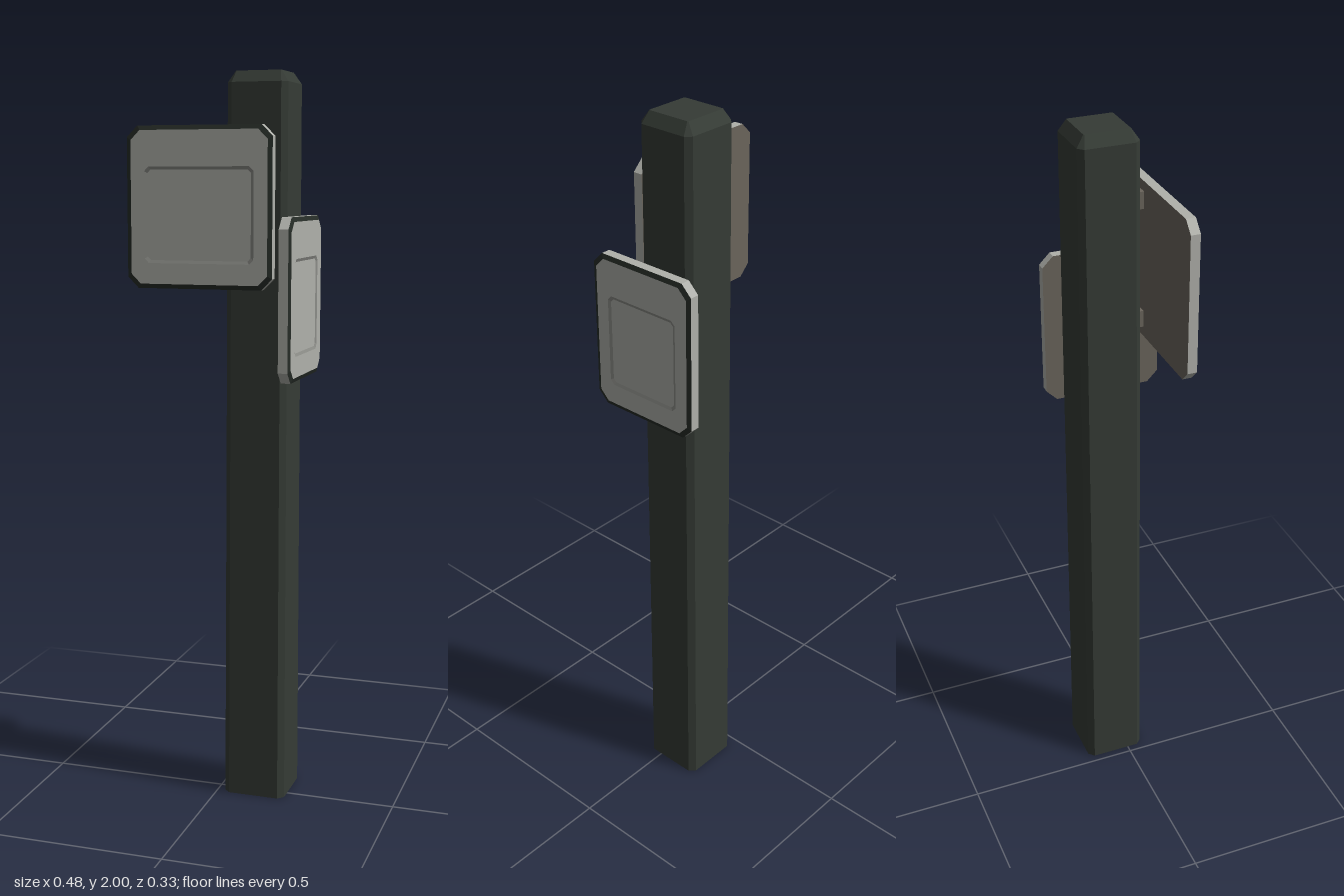
import * as THREE from 'three';

const mat = (name, color) => {
  const m = new THREE.MeshStandardMaterial({ color });
  m.name = name;
  return m;
};

// Rectangle with cut corners, counter-clockwise
function cutRect(w, h, c, cy = 0) {
  const x = w / 2, y = h / 2;
  return [[x - c, -y], [x, -y + c], [x, y - c], [x - c, y], [-x + c, y], [-x, y - c], [-x, -y + c], [-x + c, -y]]
    .map(([px, py]) => new THREE.Vector2(px, py + cy));
}

// Flat-faced skin through a list of [loop, z] sections along +z
function loft(sections) {
  const pos = [];
  for (let s = 0; s + 1 < sections.length; s++) {
    const [a, za] = sections[s], [b, zb] = sections[s + 1];
    for (let i = 0; i < a.length; i++) {
      const j = (i + 1) % a.length;
      const p = [a[i].x, a[i].y, za], q = [a[j].x, a[j].y, za];
      const r = [b[j].x, b[j].y, zb], t = [b[i].x, b[i].y, zb];
      pos.push(...p, ...q, ...r, ...p, ...r, ...t);
    }
  }
  const g = new THREE.BufferGeometry();
  g.setAttribute('position', new THREE.Float32BufferAttribute(pos, 3));
  g.computeVertexNormals();
  return g;
}

// Flat cap facing +z, optionally with a hole
function cap(loop, z, hole) {
  const shape = new THREE.Shape(loop);
  if (hole) shape.holes.push(new THREE.Path(hole));
  return new THREE.ShapeGeometry(shape).translate(0, 0, z);
}

export function createModel() {
  const root = new THREE.Group();
  root.name = 'signPost';
  const dark = mat('dark green grey', 0x353b35);
  const rimDark = mat('rim dark', 0x262c27);
  const light = mat('light grey', 0xb0b1ab);
  const groove = mat('groove grey', 0x8c8d88);
  const brown = mat('brown grey', 0x6b655c);

  const add = (parent, name, geo, material) => {
    const m = new THREE.Mesh(geo, material);
    m.name = name;
    parent.add(m);
    return m;
  };

  // Slightly tapered post with chamfered corners and a bevelled top
  const post = new THREE.Group();
  post.name = 'post';
  post.position.set(0.108, 0, -0.04);
  post.rotation.x = -Math.PI / 2;
  root.add(post);
  const foot = cutRect(0.174, 0.174, 0.016);
  const shoulder = cutRect(0.165, 0.165, 0.015);
  const top = cutRect(0.124, 0.124, 0.002);
  add(post, 'postShaft', loft([[foot, 0], [shoulder, 1.97], [top, 2]]), dark);
  add(post, 'postTop', cap(top, 2), dark);
  add(post, 'postBottom', cap(foot, 0).rotateY(Math.PI), dark);

  // Sign panel: back at local z = 0, facing local +z
  function sign(name, w, h, bracketX) {
    const g = new THREE.Group();
    g.name = name;
    root.add(g);
    const outer = cutRect(w, h, 0.03);
    const inner = cutRect(w - 0.024, h - 0.024, 0.026);
    const pw = w - 0.1, ph = h - 0.175, py = -0.02;
    const frame = cutRect(pw, ph, 0.012, py);
    const panel = cutRect(pw - 0.016, ph - 0.016, 0.009, py);
    add(g, 'panelEdge', loft([[outer, 0], [outer, 0.026]]), light);
    add(g, 'panelBack', cap(outer, 0).rotateY(Math.PI), brown);
    add(g, 'panelRim', loft([[outer, 0.026], [inner, 0.031]]), rimDark);
    add(g, 'panelFace', cap(inner, 0.031, frame), light);
    // Shallow recess with a narrow sloping border
    add(g, 'recessBorder', loft([[frame, 0.031], [panel, 0.028]]), groove);
    add(g, 'recessPanel', cap(panel, 0.028), light);
    // Two brackets reaching back to the post
    for (const y of [0.165, -0.165]) {
      add(g, 'bracket', new THREE.BoxGeometry(0.108, 0.046, 0.022), brown).position.set(bracketX, y, -0.0105);
    }
    return g;
  }

  sign('frontSign', 0.405, 0.43, 0.137).position.set(-0.0375, 1.645, 0.056);
  const side = sign('sideSign', 0.33, 0.43, 0.04);
  side.position.set(0.206, 1.408, 0);
  side.rotation.y = Math.PI / 2;

  return root;
}
